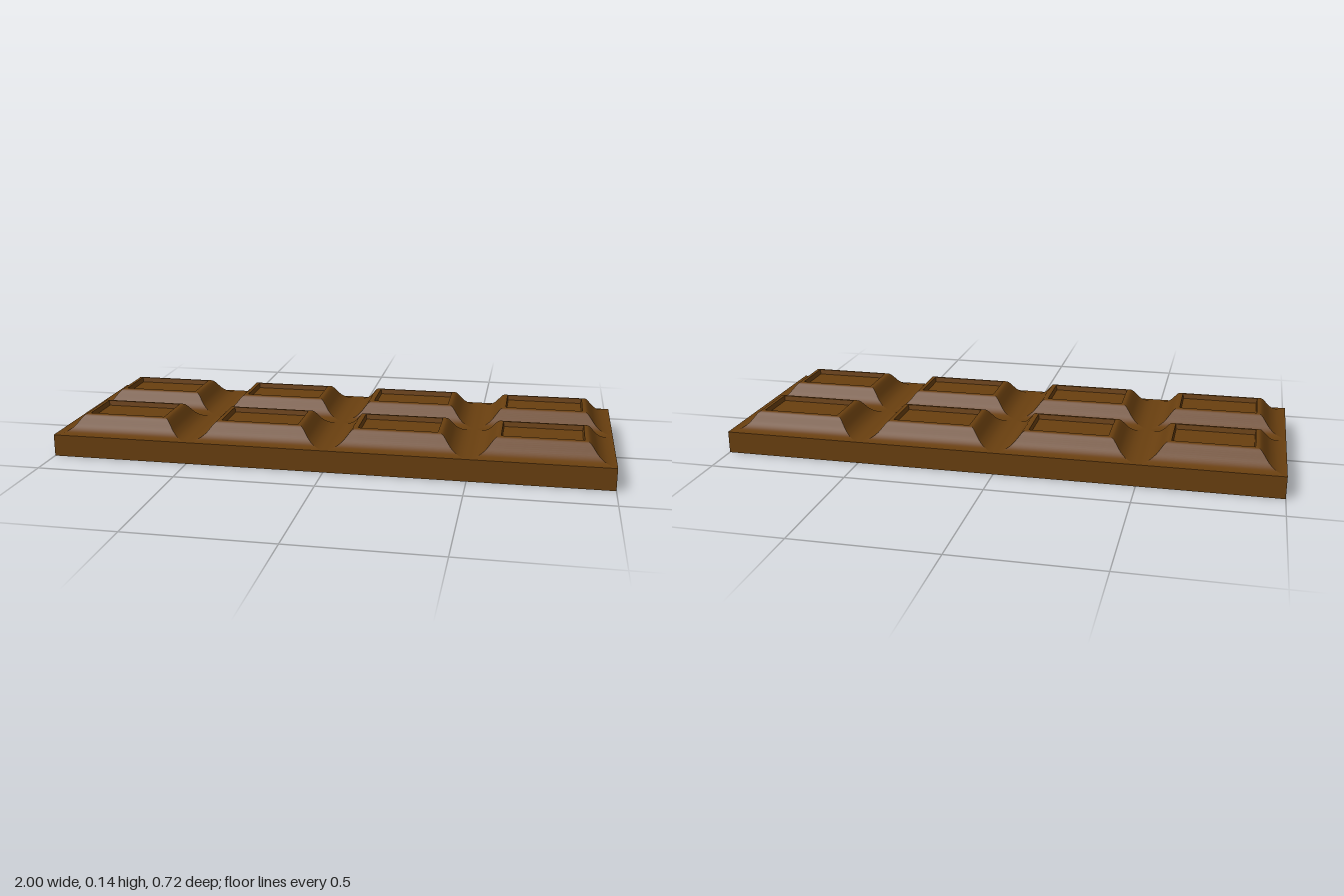
import * as THREE from 'three';

const BASE_Y = 0.08, TOP_Y = 0.142, FLOOR_Y = 0.124;
const COLS = 4, ROWS = 2, W = 0.5, D = 0.36;
const IN_X = 0.141, IN_Z = 0.086; // half size of the sunken panel

// Four mitred walls swept along a profile of [halfX, halfZ, y] rings (outer ring first)
function mitredWalls(rings) {
  const pos = [], index = [];
  const corners = [[-1, 1], [1, 1], [1, -1], [-1, -1]];
  for (let s = 0; s < 4; s++) {
    const start = pos.length / 3;
    for (const [hx, hz, y] of rings) {
      for (const [sx, sz] of [corners[s], corners[(s + 1) % 4]]) pos.push(sx * hx, y, sz * hz);
    }
    for (let i = 0; i < rings.length - 1; i++) {
      const a = start + i * 2;
      index.push(a, a + 1, a + 3, a, a + 3, a + 2);
    }
  }
  const g = new THREE.BufferGeometry();
  g.setAttribute('position', new THREE.Float32BufferAttribute(pos, 3));
  g.setIndex(index);
  g.computeVertexNormals();
  return g;
}

// S-shaped slope from the groove up to the rim
function slopeRings() {
  const curve = new THREE.SplineCurve([
    [1, 0.08], [0.84, 0.0805], [0.68, 0.0845], [0.55, 0.092], [0.43, 0.103],
    [0.32, 0.118], [0.22, 0.132], [0.14, 0.14], [0.07, TOP_Y],
  ].map(([t, y]) => new THREE.Vector2(t, y)));
  return curve.getPoints(20).map((p) => [
    IN_X + (W / 2 - IN_X) * p.x, IN_Z + (D / 2 - IN_Z) * p.x, p.y,
  ]);
}

export function createModel() {
  const group = new THREE.Group();
  const chocolate = new THREE.MeshStandardMaterial({ color: 0x693f0f });
  chocolate.name = 'chocolate brown';

  const add = (parent, name, geometry) => {
    const mesh = new THREE.Mesh(geometry, chocolate);
    mesh.name = name;
    parent.add(mesh);
    return mesh;
  };

  // Flat slab under all the pieces
  add(group, 'baseSlab', new THREE.BoxGeometry(W * COLS, BASE_Y - 0.0005, D * ROWS))
    .position.y = (BASE_Y - 0.0005) / 2;

  // Shared geometry of one piece
  const rings = slopeRings();
  const rim = rings[rings.length - 1];
  const slope = mitredWalls(rings);
  const rimTop = mitredWalls([rim, [IN_X, IN_Z, TOP_Y]]);
  const recessWall = mitredWalls([[IN_X, IN_Z, TOP_Y], [IN_X - 0.003, IN_Z - 0.003, FLOOR_Y]]);
  const floor = new THREE.PlaneGeometry(2 * IN_X - 0.006, 2 * IN_Z - 0.006);
  floor.rotateX(-Math.PI / 2).translate(0, FLOOR_Y, 0);

  // Grid of pieces
  for (let r = 0; r < ROWS; r++) {
    for (let c = 0; c < COLS; c++) {
      const piece = new THREE.Group();
      piece.name = `piece_${r + 1}_${c + 1}`;
      piece.position.set((c - (COLS - 1) / 2) * W, 0, (r - (ROWS - 1) / 2) * D);
      add(piece, 'slopedSides', slope);
      add(piece, 'rim', rimTop);
      add(piece, 'recessWalls', recessWall);
      add(piece, 'recessFloor', floor);
      group.add(piece);
    }
  }
  return group;
}
